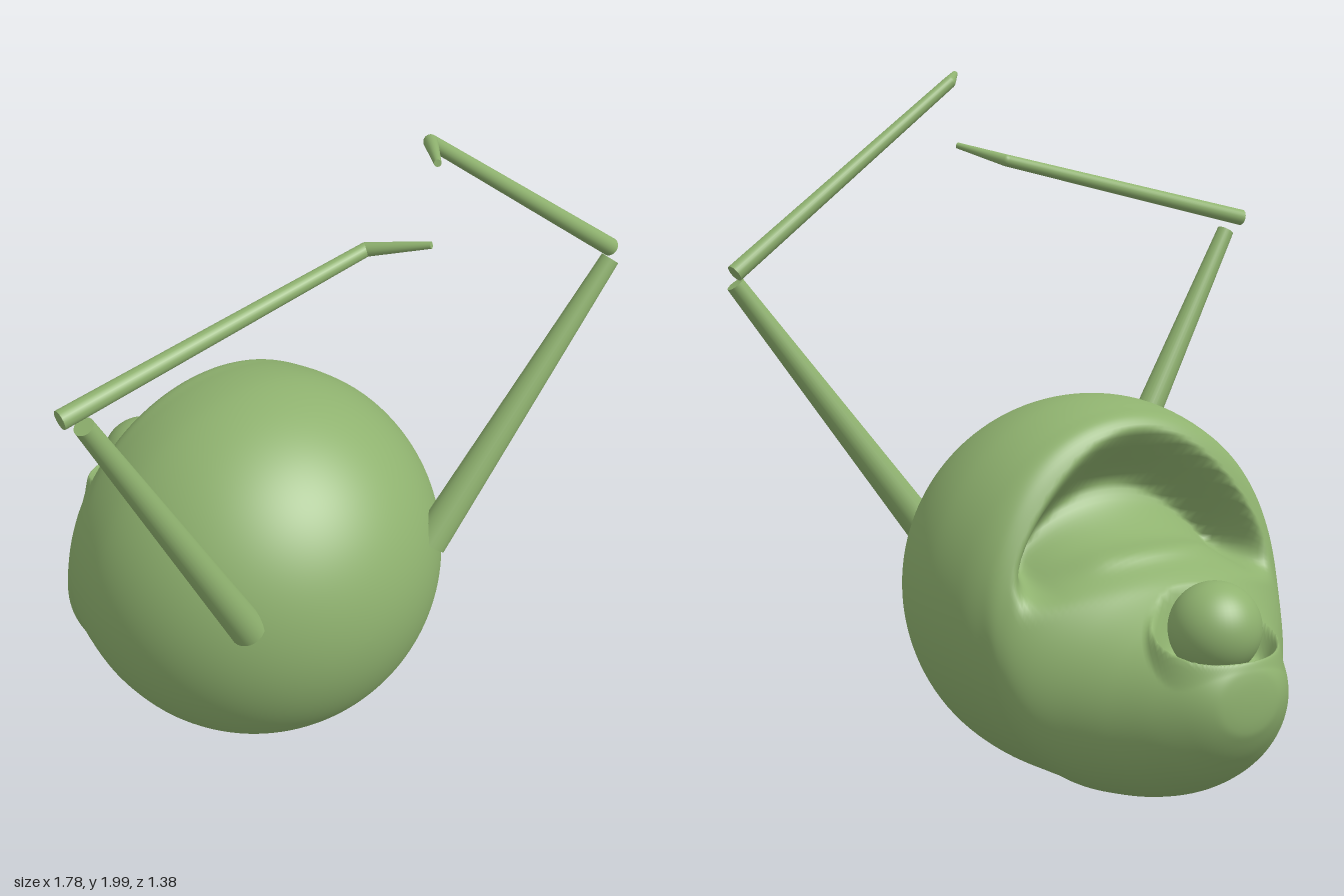
import * as THREE from 'three';

const material = new THREE.MeshStandardMaterial({ color: 0x8fb26f, side: THREE.DoubleSide });
const step = THREE.MathUtils.smoothstep;
const CX = -0.012;

// Body sections from front to back: z, bottom, top, half width
function bodySections() {
  const rows = [];
  for (let deg = -15; deg <= 90; deg += 15) {
    const a = THREE.MathUtils.degToRad(deg), r = 0.54 * Math.sin(a);
    rows.push([0.06 + 0.54 * Math.cos(a), 0.55 - r, 0.55 + r, r]);
  }
  rows.push(
    [-0.08, 0.01, 1.07, 0.52], [-0.16, 0.01, 1.03, 0.49], [-0.21, 0.012, 0.88, 0.47],
    [-0.27, 0.02, 0.74, 0.435], [-0.36, 0.035, 0.645, 0.365], [-0.46, 0.07, 0.58, 0.295],
    [-0.56, 0.13, 0.54, 0.225], [-0.63, 0.2, 0.51, 0.165], [-0.67, 0.26, 0.47, 0.115],
    [-0.685, 0.3, 0.43, 0.07], [-0.69, 0.365, 0.365, 0], [-0.685, 0.43, 0.3, -0.07]);
  return rows;
}

// Arched hollow under the brow, and the round socket behind it
function sculpt(p) {
  const ax = Math.abs(p.x - CX);
  const v = -(p.z + 0.15) * 0.49 - (p.y - 1.03) * 0.87;
  const lip = 0.02 + 1.7 * ax * ax;
  let depth = 0.2 * step(v, lip, lip + 0.07) * (1 - step(v, lip + 0.07, 0.47));
  depth -= 0.025 * Math.exp(-(((v - 0.34) / 0.035) ** 2)) * (1 - step(ax, 0.15, 0.3));
  depth *= (1 - step(ax, 0.3, 0.43)) * step(-p.z, 0.08, 0.15);
  p.y -= depth * 0.49;
  p.z += depth * 0.87;

  const q = Math.hypot((p.x - CX) / 0.2, (p.z + 0.535) / 0.145);
  if (q < 1 && p.y > 0.38) {
    const plane = 0.54 - 0.4 * (-p.z - 0.53);
    const floor = plane - 0.1 * (1 - step(q, 0.65, 1));
    p.y = THREE.MathUtils.lerp(floor, p.y, step(q, 0.88, 1));
  }
  return p;
}

function bodyGeometry() {
  const rows = bodySections(), sides = 128, sub = 10;
  const spline = (f) => new THREE.SplineCurve(rows.map(f));
  const lengthCurve = spline((r) => new THREE.Vector2(r[0], r[3]));
  const heightCurve = spline((r) => new THREE.Vector2(r[1], r[2]));
  const spans = rows.length - 1, rings = (spans - 2) * sub;
  const pos = [], index = [];
  for (let i = 0; i <= rings; i++) {
    const t = (1 + i / sub) / spans;
    const a = lengthCurve.getPoint(t), h = heightCurve.getPoint(t);
    for (let j = 0; j < sides; j++) {
      const phi = (j / sides) * Math.PI * 2;
      const p = sculpt(new THREE.Vector3(
        CX + a.y * Math.cos(phi), (h.x + h.y) / 2 + (h.y - h.x) / 2 * Math.sin(phi), a.x));
      pos.push(p.x, p.y, p.z);
      if (i < rings) {
        const k = i * sides + j, n = i * sides + (j + 1) % sides;
        index.push(k, k + sides, n, n, k + sides, n + sides);
      }
    }
  }
  const g = new THREE.BufferGeometry();
  g.setAttribute('position', new THREE.Float32BufferAttribute(pos, 3));
  g.setIndex(index);
  g.computeVertexNormals();
  return g;
}

// Tapered rod between two points
function rod(name, from, to, r0, r1) {
  const a = new THREE.Vector3(...from), b = new THREE.Vector3(...to);
  const dir = b.clone().sub(a);
  const mesh = new THREE.Mesh(new THREE.CylinderGeometry(r1, r0, dir.length(), 24), material);
  mesh.position.copy(a).add(b).multiplyScalar(0.5);
  mesh.quaternion.setFromUnitVectors(new THREE.Vector3(0, 1, 0), dir.normalize());
  mesh.name = name;
  return mesh;
}

function arm(name, shoulder, upperEnd, elbow, wrist, tip) {
  const group = new THREE.Group();
  group.name = name;
  const knuckle = new THREE.Mesh(new THREE.SphereGeometry(0.018, 20, 14), material);
  knuckle.position.set(...wrist);
  knuckle.name = 'wrist';
  group.add(
    rod('upperArm', shoulder, upperEnd, 0.05, 0.026),
    rod('forearm', elbow, wrist, 0.025, 0.018),
    knuckle,
    rod('hand', wrist, tip, 0.018, 0.009));
  return group;
}

export function createModel() {
  const model = new THREE.Group();
  model.name = 'creature';

  const body = new THREE.Mesh(bodyGeometry(), material);
  body.name = 'body';

  // Ball resting in the socket
  const ball = new THREE.Mesh(new THREE.SphereGeometry(0.125, 48, 32), material);
  ball.position.set(CX, 0.535, -0.53);
  ball.name = 'socketBall';

  model.add(body, ball,
    arm('leftArm', [0.305, 0.665, 0.46], [0.87, 1.41, 0.497],
      [0.875, 1.44, 0.487], [0.17, 1.965, 0.535], [0.07, 1.993, 0.68]),
    arm('rightArm', [-0.32, 0.645, 0.465], [-0.825, 1.51, 0.522],
      [-0.887, 1.55, 0.522], [-0.03, 1.738, 0.548], [0.06, 1.782, 0.685]));
  return model;
}
